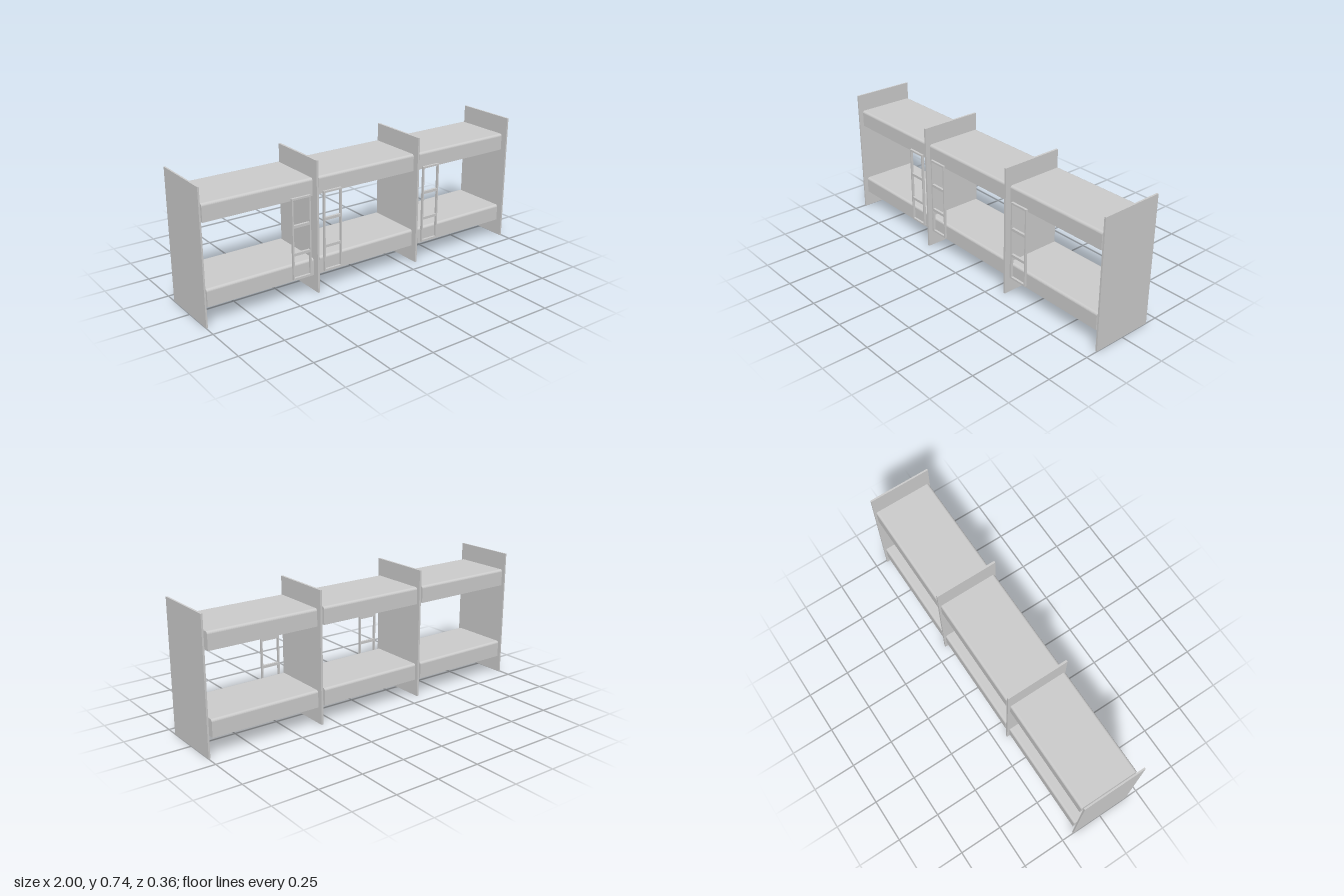
import * as THREE from 'three';

const material = new THREE.MeshStandardMaterial({ color: 0xcccccc });

// Box given by its extents on each axis
function box(name, x0, x1, y0, y1, z0, z1) {
  const mesh = new THREE.Mesh(new THREE.BoxGeometry(x1 - x0, y1 - y0, z1 - z0), material);
  mesh.position.set((x0 + x1) / 2, (y0 + y1) / 2, (z0 + z1) / 2);
  mesh.name = name;
  return mesh;
}

// Berth: cross-section with rounded upper edges, extruded along x
function berth(name, x0, x1, y0, y1) {
  const zBack = -0.175, zFront = 0.163, r = 0.014;
  const s = new THREE.Shape();
  // shape x is -z, so that the extrusion direction can be turned onto +x
  s.moveTo(-zFront, y0);
  s.lineTo(-zBack, y0);
  s.lineTo(-zBack, y1 - r);
  s.absarc(-zBack - r, y1 - r, r, 0, Math.PI / 2, false);
  s.lineTo(-zFront + r, y1);
  s.absarc(-zFront + r, y1 - r, r, Math.PI / 2, Math.PI, false);
  s.closePath();
  const g = new THREE.ExtrudeGeometry(s, { depth: x1 - x0, bevelEnabled: false, curveSegments: 5 });
  g.rotateY(Math.PI / 2);
  g.translate(x0, 0, 0);
  const mesh = new THREE.Mesh(g, material);
  mesh.name = name;
  return mesh;
}

// Ladder: two rails, a bar at each end and two rungs
function ladder(x0, x1) {
  const group = new THREE.Group();
  group.name = 'ladder';
  const y0 = 0.112, y1 = 0.56, z0 = 0.162, z1 = 0.176, t = 0.008;
  group.add(
    box('ladderRailRight', x0, x0 + t, y0, y1, z0, z1),
    box('ladderRailLeft', x1 - t, x1, y0, y1, z0, z1),
  );
  for (const [a, b] of [[y0, y0 + 0.01], [0.246, 0.261], [0.399, 0.414], [y1 - 0.01, y1]]) {
    group.add(box('ladderRung', x0 + t, x1 - t, a, b, z0, z1));
  }
  return group;
}

export function createModel() {
  const model = new THREE.Group();
  model.name = 'bunkBedRow';

  // Upright partitions
  for (const [x0, x1] of [[-1, -0.991], [-0.342, -0.33], [0.32, 0.332], [0.99, 1]]) {
    model.add(box('partition', x0, x1, 0, 0.735, -0.18, 0.18));
  }

  // Three bays, each with a lower and an upper berth
  for (const [x0, x1] of [[-0.977, -0.356], [-0.317, 0.305], [0.348, 0.97]]) {
    model.add(berth('lowerBerth', x0, x1, 0.102, 0.197));
    model.add(berth('upperBerth', x0, x1, 0.546, 0.641));
  }

  // Ladders on the front
  for (const x of [-0.489, -0.296, 0.367]) model.add(ladder(x, x + 0.112));

  return model;
}
